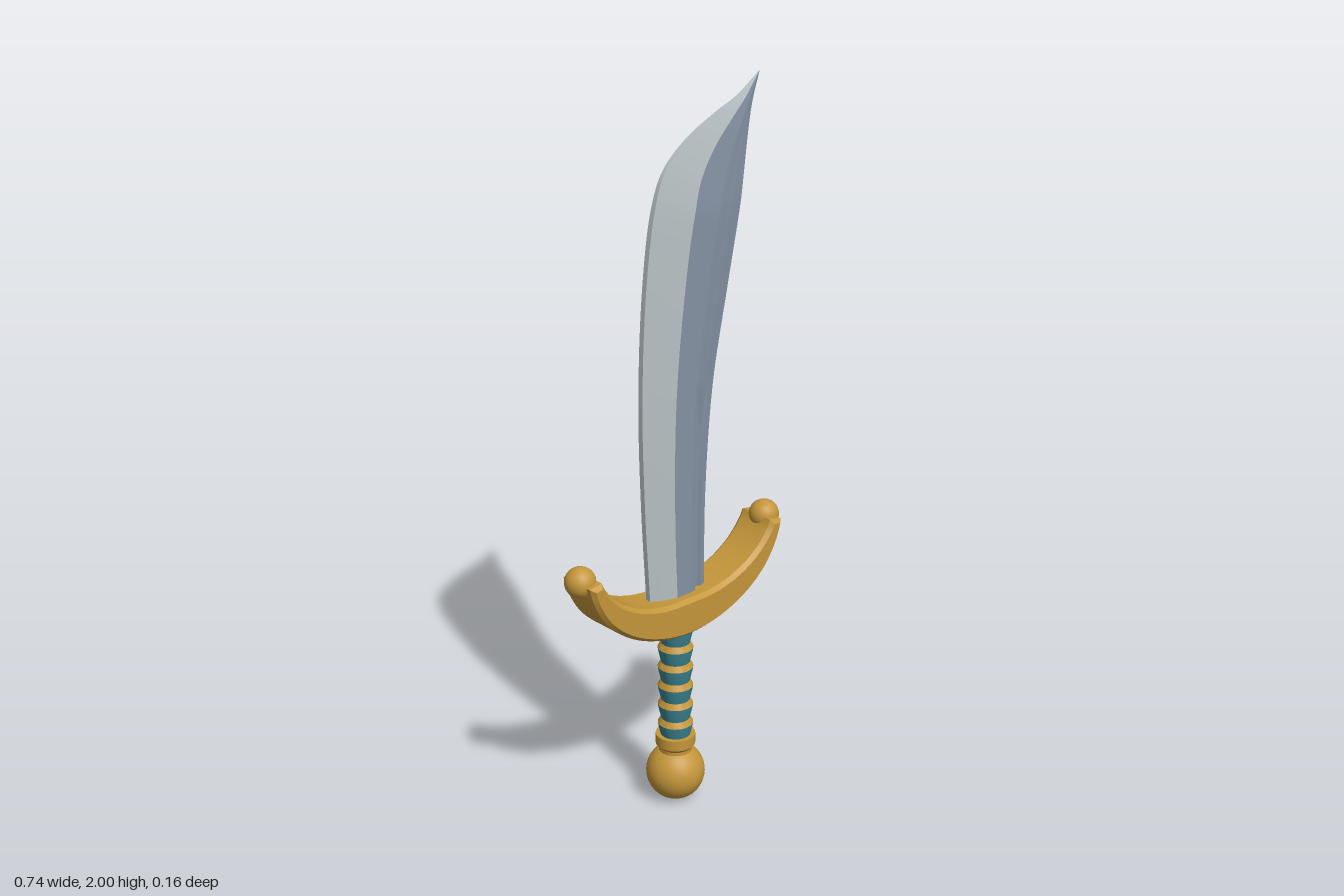
import * as THREE from 'three';
import { toCreasedNormals } from 'three/addons/utils/BufferGeometryUtils.js';

const mat = (name, color, side = THREE.FrontSide) => {
  const m = new THREE.MeshStandardMaterial({ color, side });
  m.name = name;
  return m;
};

export function createModel() {
  const model = new THREE.Group();
  const gold = mat('gold', 0xc4963a);
  const teal = mat('teal', 0x3a8490);
  const steel = mat('blue steel', 0x8592a4, THREE.DoubleSide);
  const silver = mat('edge silver', 0xb6bfc2, THREE.DoubleSide);

  const add = (name, geometry, material, x = 0, y = 0, z = 0, parent = model) => {
    const mesh = new THREE.Mesh(geometry, material);
    mesh.name = name;
    mesh.position.set(x, y, z);
    parent.add(mesh);
    return mesh;
  };
  const lathe = (pts, segments = 32) =>
    toCreasedNormals(new THREE.LatheGeometry(pts.map(p => new THREE.Vector2(...p)), segments), 0.4);

  // Pommel and its collar
  add('pommel', new THREE.SphereGeometry(0.082, 32, 20), gold, 0, 0.082);
  add('collar', lathe([[0, 0.13], [0.046, 0.13], [0.046, 0.16], [0.055, 0.17], [0.055, 0.2], [0, 0.2]]), gold);

  // Grip: flared wraps, each topped by a sloping gold ring
  const grip = new THREE.Group();
  grip.name = 'grip';
  model.add(grip);
  const step = 0.058, ringHeight = 0.016, wide = 0.049, narrow = 0.04;
  for (let i = 0; i < 6; i++) {
    const y0 = 0.193 + i * step, y1 = y0 + step - ringHeight;
    add('gripWrap', lathe([[narrow, y0], [wide - 0.002, y1 - 0.012], [wide, y1]]), teal, 0, 0, 0, grip);
    add('gripRing', lathe([[wide, y1], [narrow, y0 + step]]), gold, 0, 0, 0, grip);
  }

  // Crescent guard with chamfered rims
  const outer = [[-0.34, 0.765], [-0.325, 0.715], [-0.28, 0.642], [-0.2, 0.578], [-0.1, 0.538], [0, 0.525]];
  const inner = [[0, 0.632], [-0.09, 0.635], [-0.175, 0.658], [-0.245, 0.7], [-0.29, 0.75], [-0.3, 0.772]];
  const mirror = pts => pts.slice().reverse().map(([x, y]) => [-x, y]);
  const spline = pts => new THREE.CatmullRomCurve3(pts.map(([x, y]) => new THREE.Vector3(x, y, 0)))
    .getPoints(36).map(p => new THREE.Vector2(p.x, p.y));
  const outline = [
    ...spline([...outer, ...mirror(outer).slice(1)]),
    ...spline([...mirror(inner), ...inner.slice(1)]),
  ];
  const guard = new THREE.ExtrudeGeometry(new THREE.Shape(outline), {
    depth: 0.106, bevelEnabled: true, bevelThickness: 0.012, bevelSize: 0.01, bevelOffset: -0.01, bevelSegments: 1,
  });
  guard.translate(0, 0, -0.053);
  add('guard', toCreasedNormals(guard, 0.5), gold);
  for (const side of [-1, 1]) {
    add('guardBall', new THREE.SphereGeometry(0.042, 24, 16), gold, side * 0.328, 0.765);
  }

  // Blade: cutting edge and spine as matching curves, joined by cross-sections
  const edge = new THREE.CatmullRomCurve3([
    [-0.095, 0.6], [-0.113, 0.9], [-0.12, 1.2], [-0.105, 1.5], [-0.075, 1.7],
    [-0.04, 1.79], [0.035, 1.86], [0.135, 1.914], [0.21, 1.947], [0.285, 2],
  ].map(([x, y]) => new THREE.Vector3(x, y, 0)));
  const spine = new THREE.CatmullRomCurve3([
    [0.09, 0.6], [0.093, 0.9], [0.117, 1.2], [0.165, 1.45], [0.2, 1.62],
    [0.215, 1.7], [0.228, 1.78], [0.242, 1.86], [0.257, 1.925], [0.285, 2],
  ].map(([x, y]) => new THREE.Vector3(x, y, 0)));
  const rows = 54;
  // Station: fraction across, half thickness, groove depth
  const stations = [[0, 0.008, 0], [0.4, 0.033, 0], [0.7, 0.031, 0], [0.76, 0.028, 0],
    [0.79, 0.026, 0.009], [0.88, 0.022, 0.009], [0.91, 0.02, 0], [1, 0.015, 0]];
  const point = (row, [f, half, groove], side) => {
    const t = row / rows;
    const p = edge.getPoint(t).lerp(spine.getPoint(t), f);
    const taper = Math.min(1, Math.pow(Math.max(0, 2 - p.y) / 0.32, 0.85));
    const fade = THREE.MathUtils.clamp((1.2 - p.y) / 0.08, 0, 1);
    p.z = side * (half - groove * fade) * taper;
    return p;
  };
  // Strip running up the blade, smooth lengthwise and crisp at its sides
  const strip = (a, sideA, b, sideB) => {
    const pos = [], index = [];
    for (let r = 0; r <= rows; r++) {
      pos.push(...point(r, a, sideA).toArray(), ...point(r, b, sideB).toArray());
      const k = r * 2;
      if (r < rows) index.push(k, k + 1, k + 2, k + 1, k + 3, k + 2);
    }
    const g = new THREE.BufferGeometry();
    g.setAttribute('position', new THREE.Float32BufferAttribute(pos, 3));
    g.setIndex(index);
    g.computeVertexNormals();
    return g;
  };
  const blade = new THREE.Group();
  blade.name = 'blade';
  model.add(blade);
  for (let i = 0; i < stations.length - 1; i++) {
    const a = stations[i], b = stations[i + 1];
    const name = i === 0 ? 'cuttingBevel' : 'bladeFlat', m = i === 0 ? silver : steel;
    add(name, strip(a, 1, b, 1), m, 0, 0, 0, blade);
    add(name, strip(b, -1, a, -1), m, 0, 0, 0, blade);
  }
  const last = stations[stations.length - 1];
  add('cuttingEdge', strip(stations[0], -1, stations[0], 1), silver, 0, 0, 0, blade);
  add('bladeSpine', strip(last, 1, last, -1), steel, 0, 0, 0, blade);

  return model;
}
